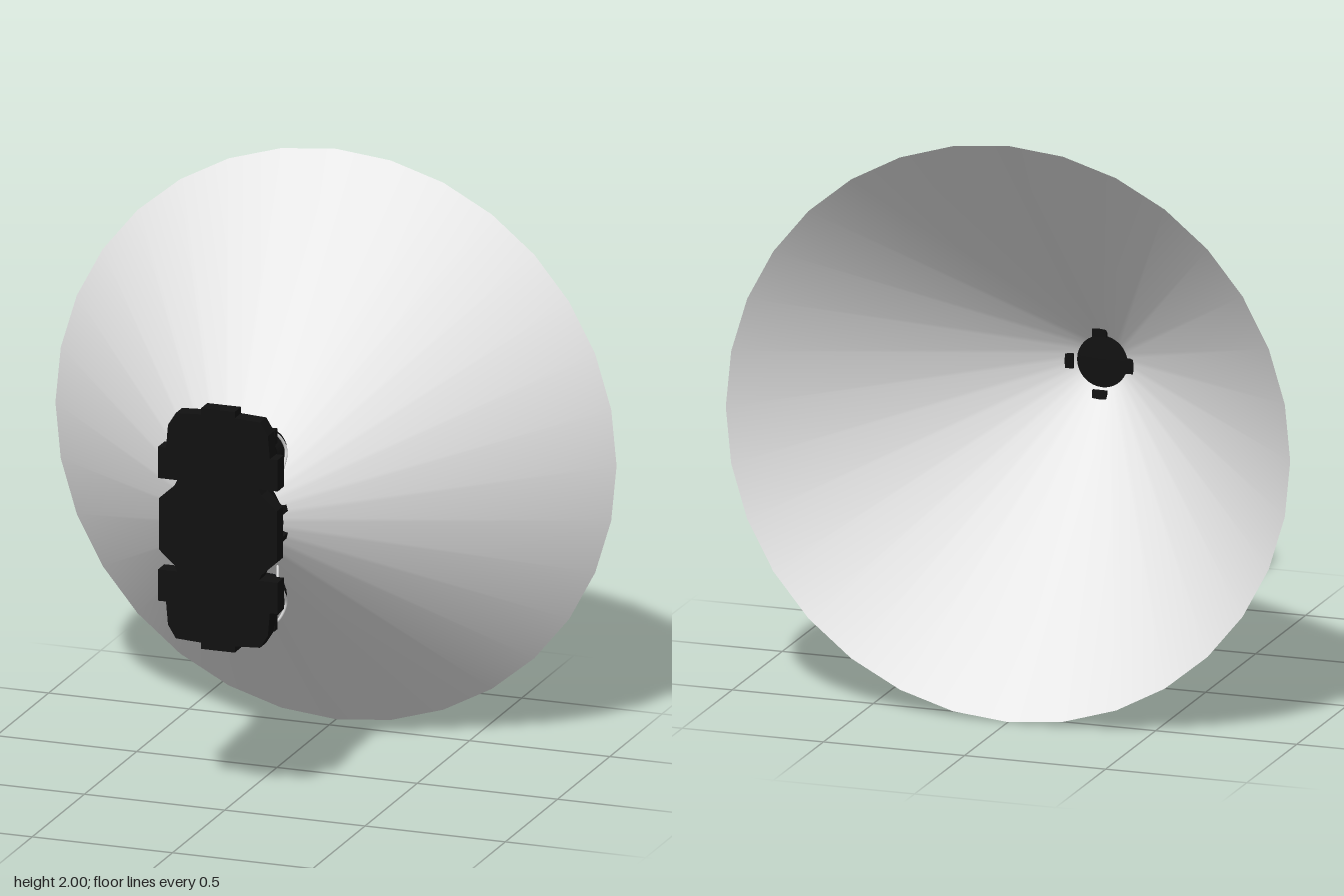
import * as THREE from 'three';

export function createModel() {
  const root = new THREE.Group();
  root.name = 'searchlight';
  const mat = (name, color, side = THREE.FrontSide) => {
    const m = new THREE.MeshStandardMaterial({ color, side });
    m.name = name;
    return m;
  };
  const beamWhite = mat('beam white', 0xffffff, THREE.DoubleSide);
  const black = mat('housing black', 0x111111);
  const blueBlack = mat('knob black', 0x101218);
  const wireGrey = mat('wire grey', 0xd8d8d8);

  const add = (name, geo, material, x = 0, y = 0, z = 0) => {
    const m = new THREE.Mesh(geo, material);
    m.name = name;
    m.position.set(x, y, z);
    root.add(m);
    return m;
  };
  // lathe profile of [radius, height], with height pointing to the back
  const turned = (pts, seg = 24) => new THREE.LatheGeometry(
    pts.map(p => new THREE.Vector2(p[0], p[1])), seg).rotateX(-Math.PI / 2);

  // open light cone spreading to the back
  add('beamCone', new THREE.CylinderGeometry(0.09, 1, 0.945, 32, 1, true)
    .rotateX(Math.PI / 2), beamWhite, 0, 1, -0.0925);

  // mounting plate: one quarter of the outline, mirrored twice
  const quarter = [[0.21, 0.09], [0.155, 0.14], [0.145, 0.16], [0.213, 0.16],
    [0.213, 0.27], [0.185, 0.27], [0.178, 0.35], [0.15, 0.395], [0.06, 0.4], [0.06, 0.422]];
  const back = [...quarter].reverse();
  const outline = [...quarter, ...back.map(([x, y]) => [-x, y]),
    ...quarter.map(([x, y]) => [-x, -y]), ...back.map(([x, y]) => [x, -y])];
  const plate = new THREE.Shape(outline.map(p => new THREE.Vector2(p[0], p[1])));
  add('mountingPlate', new THREE.ExtrudeGeometry(plate,
    { depth: 0.06, bevelEnabled: false }), black, 0, 1, 0.505);

  // central hub whose flat back is the lens
  add('hub', turned([[0.19, 0], [0.19, 0.05], [0.175, 0.055], [0.175, 0.1],
    [0.155, 0.128], [0.001, 0.128]], 32), black, 0, 1, 0.508);
  add('hubRing', new THREE.TorusGeometry(0.145, 0.018, 8, 32), black, 0, 1, 0.385);

  // lugs around the hub and clips holding the cone
  for (let i = 0; i < 12; i++) {
    const a = (i + 0.5) * Math.PI / 6;
    add('hubLug', new THREE.BoxGeometry(0.03, 0.022, 0.05), black,
      0.175 * Math.cos(a), 1 + 0.175 * Math.sin(a), 0.42).rotation.z = a;
  }
  for (let i = 0; i < 4; i++) {
    const a = i * Math.PI / 2;
    add('coneClip', new THREE.BoxGeometry(0.05, 0.05, 0.012), black,
      0.118 * Math.cos(a), 1 + 0.118 * Math.sin(a), 0.352).rotation.z = a;
    add('clipPost', new THREE.BoxGeometry(0.02, 0.03, 0.04), black,
      0.13 * Math.cos(a), 1 + 0.13 * Math.sin(a), 0.37).rotation.z = a;
  }

  // four corner pods, each with a round knob and a looping wire
  const pod = [[0.08, 0], [0.08, 0.06], [0.076, 0.09], [0.064, 0.115], [0.045, 0.135], [0.001, 0.145]];
  const wire = [[0.045, 0.31, 0.375], [0.045, 0.328, 0.46], [0.06, 0.343, 0.495],
    [0.14, 0.343, 0.495], [0.178, 0.325, 0.47], [0.2, 0.27, 0.45],
    [0.2, 0.21, 0.485], [0.19, 0.18, 0.497], [0.17, 0.14, 0.45]];
  for (const sx of [-1, 1]) {
    for (const sy of [-1, 1]) {
      const x = sx * 0.115, y = 1 + sy * 0.255;
      add('pod', turned(pod), black, x, y, 0.508);
      add('podFoot', new THREE.BoxGeometry(0.13, 0.18, 0.03), black, x, 1 + sy * 0.262, 0.493);
      add('knob', new THREE.SphereGeometry(0.057, 20, 14), blueBlack, x, y - sy * 0.005, 0.387);
      add('knobCollar', new THREE.TorusGeometry(0.06, 0.012, 8, 24), black, x, y, 0.405);
      const path = new THREE.CatmullRomCurve3(
        wire.map(p => new THREE.Vector3(sx * p[0], 1 + sy * p[1], p[2])));
      add('wire', new THREE.TubeGeometry(path, 40, 0.005, 6), wireGrey);
    }
    // end block between the pods
    add('endBlock', new THREE.BoxGeometry(0.1, 0.14, 0.08), black, 0, 1 + sx * 0.25, 0.47);
  }
  return root;
}
